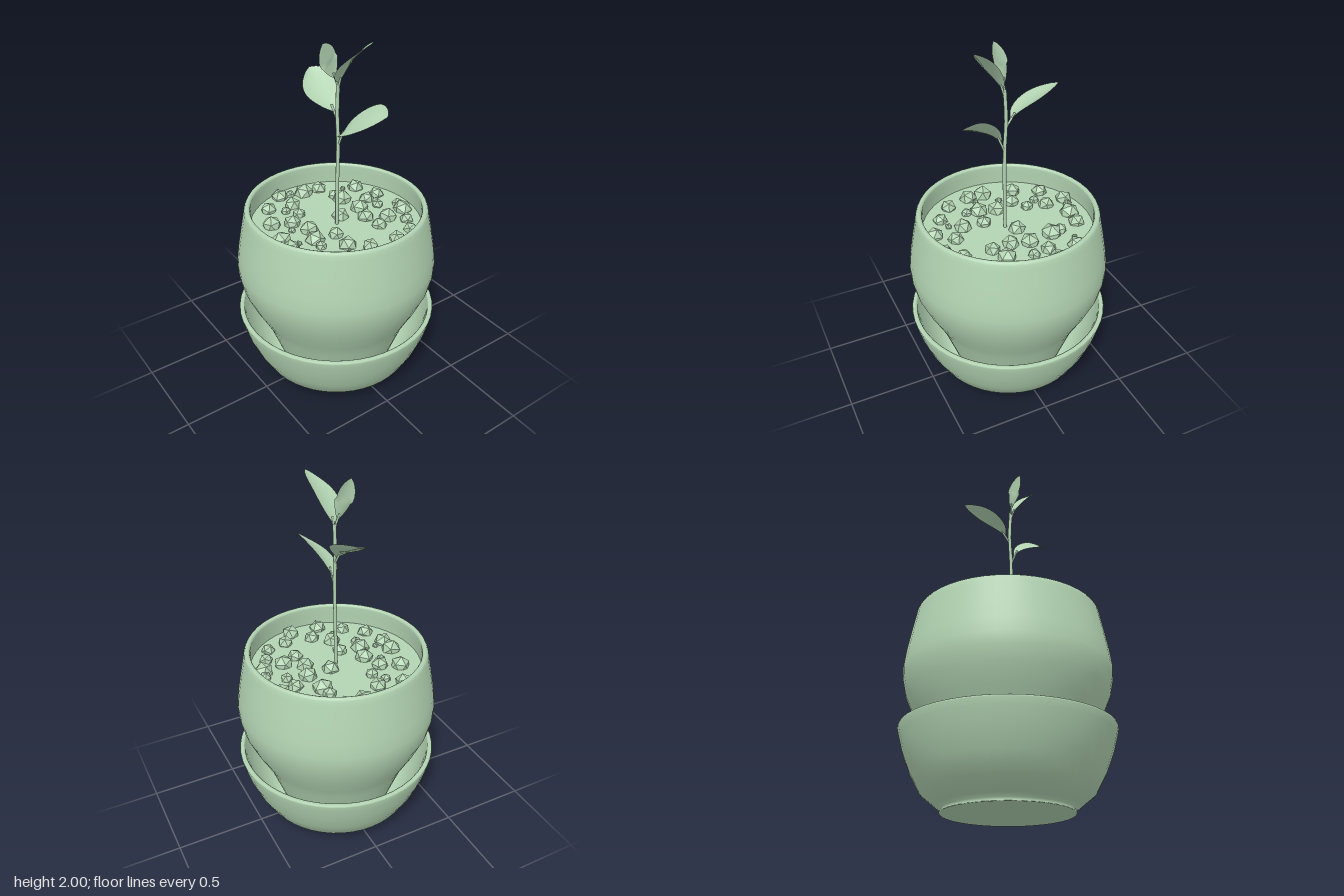
import * as THREE from 'three';

const V = (x, y, z) => new THREE.Vector3(x, y, z);

export function createModel() {
  const group = new THREE.Group();
  const green = new THREE.MeshStandardMaterial({ name: 'sageGreen', color: 0xb3d4b3 });
  const greenFlat = new THREE.MeshStandardMaterial({ name: 'sageGreenFaceted', color: 0xb3d4b3, flatShading: true });
  const greenThin = new THREE.MeshStandardMaterial({ name: 'sageGreenLeaf', color: 0xb3d4b3, side: THREE.DoubleSide });

  const add = (name, geometry, material = green) => {
    const mesh = new THREE.Mesh(geometry, material);
    mesh.name = name;
    group.add(mesh);
    return mesh;
  };
  const lathe = (points) => new THREE.LatheGeometry(points.map(([r, y]) => new THREE.Vector2(r, y)), 48);

  // Saucer: deep bowl on a small foot, profile runs from the underside up and back inside
  add('saucer', lathe([
    [0, 0], [0.335, 0], [0.34, 0.004], [0.332, 0.02], [0.36, 0.035], [0.44, 0.1], [0.495, 0.2],
    [0.535, 0.3], [0.557, 0.38], [0.565, 0.415], [0.563, 0.424], [0.557, 0.427], [0.543, 0.427],
    [0.537, 0.422], [0.53, 0.38], [0.505, 0.29], [0.465, 0.2], [0.41, 0.12], [0.34, 0.07], [0, 0.07],
  ]));

  // Pot: barrel shape with a rounded rim and a hollow top
  add('pot', lathe([
    [0, 0.075], [0.3, 0.075], [0.32, 0.085], [0.36, 0.2], [0.41, 0.34], [0.45, 0.42], [0.492, 0.5],
    [0.535, 0.6], [0.552, 0.68], [0.555, 0.74], [0.545, 0.82], [0.525, 0.93], [0.505, 1.03],
    [0.5, 1.058], [0.493, 1.07], [0.482, 1.073], [0.472, 1.069], [0.467, 1.058], [0.472, 1.02], [0.475, 0.92],
  ]));

  // Soil
  const soil = add('soil', new THREE.CircleGeometry(0.477, 48));
  soil.rotation.x = -Math.PI / 2;
  soil.position.y = 0.95;

  // Pebbles: x, z, radius
  const pebbles = [
    [-0.25, -0.32, 0.05], [-0.11, -0.37, 0.045], [0.11, -0.385, 0.055], [0.05, -0.4, 0.035],
    [0.21, -0.33, 0.04], [0.3, -0.28, 0.04], [-0.1, -0.29, 0.045], [-0.01, -0.3, 0.035],
    [0.13, -0.26, 0.055], [-0.36, -0.13, 0.048], [-0.24, -0.16, 0.04], [-0.18, -0.17, 0.06],
    [-0.04, -0.19, 0.055], [0.06, -0.16, 0.05], [0.17, -0.17, 0.045], [0.33, -0.16, 0.045],
    [0.41, -0.09, 0.052], [-0.37, -0.03, 0.058], [-0.03, -0.05, 0.05], [0.31, 0, 0.045],
    [-0.41, 0.11, 0.05], [-0.4, 0.045, 0.028], [-0.29, 0.1, 0.048], [-0.18, 0.125, 0.038],
    [0.11, 0.08, 0.045], [0.23, 0.09, 0.052], [0.4, 0.08, 0.05], [-0.32, 0.24, 0.048],
    [-0.25, 0.17, 0.03], [-0.12, 0.21, 0.05], [-0.01, 0.17, 0.055], [0.09, 0.2, 0.055],
    [0.16, 0.21, 0.032], [0.32, 0.205, 0.043], [-0.17, 0.31, 0.055], [0, 0.35, 0.058],
    [0.09, 0.35, 0.052], [0.23, 0.31, 0.047], [0.3, 0.13, 0.02], [-0.06, 0.25, 0.022],
    [0.07, 0.29, 0.018], [-0.28, -0.25, 0.016],
  ];
  const stones = new THREE.Group();
  stones.name = 'pebbles';
  const stoneGeometry = new THREE.IcosahedronGeometry(1, 0);
  pebbles.forEach(([x, z, r], i) => {
    const stone = new THREE.Mesh(stoneGeometry, greenFlat);
    stone.name = 'pebble';
    stone.position.set(x, 0.955, z);
    stone.rotation.set(i * 1.7, i * 2.3, i * 0.9);
    stone.scale.setScalar(r);
    stones.add(stone);
  });
  group.add(stones);

  // Stem
  const tube = (points, radius) =>
    new THREE.TubeGeometry(new THREE.CatmullRomCurve3(points), 14, radius, 8, false);
  add('stem', tube([V(0.015, 0.93, 0.005), V(0.018, 1.2, 0.005), V(0.018, 1.45, 0), V(0.01, 1.6, 0), V(0.018, 1.77, 0)], 0.01));

  // Leaf: blade swept along a midrib, narrow at the stalk, round at the tip, gently cupped
  const leafGeometry = (path, side, halfWidth, cup) => {
    const rows = 20, cols = 8;
    const curve = new THREE.CatmullRomCurve3(path);
    const geometry = new THREE.PlaneGeometry(1, 1, cols, rows);
    const position = geometry.attributes.position;
    const across = side.clone().normalize();
    for (let j = 0; j <= rows; j++) {
      const t = j / rows;
      const blade = Math.max(0, (t - 0.18) / 0.82);
      const width = halfWidth * Math.max(Math.sin(Math.PI * Math.pow(blade, 1.25)) ** 0.75 || 0, 0.07 * (1 - t));
      const centre = curve.getPoint(t);
      const normal = curve.getTangent(t).cross(across).normalize();
      if (normal.y < 0) normal.negate();
      for (let i = 0; i <= cols; i++) {
        const s = (i / cols) * 2 - 1;
        const p = centre.clone().addScaledVector(across, s * width).addScaledVector(normal, cup * width * (s * s - 0.3));
        position.setXYZ(j * (cols + 1) + i, p.x, p.y, p.z);
      }
    }
    geometry.computeVertexNormals();
    return geometry;
  };

  // Midrib points, sideways direction, half width, cupping
  const leaves = [
    ['lowerLeftLeaf', [V(0.018, 1.42, 0), V(0.06, 1.52, -0.005), V(0.18, 1.605, -0.045), V(0.29, 1.65, -0.1)], V(0, -0.6, 0.8), 0.1, 0.15],
    ['lowerRightLeaf', [V(0.01, 1.56, 0), V(-0.04, 1.63, 0), V(-0.15, 1.695, -0.005), V(-0.27, 1.76, -0.02)], V(0, -0.28, 0.96), 0.1, 0.25],
    ['upperLeftLeaf', [V(0.015, 1.72, 0), V(0.04, 1.8, 0), V(0.11, 1.9, -0.01), V(0.205, 2.0, -0.065)], V(0.1, -0.35, 0.93), 0.075, 0.15],
    ['upperFrontLeaf', [V(0.018, 1.74, 0), V(0.012, 1.82, 0.025), V(0.018, 1.9, 0.06), V(0.03, 1.98, 0.1)], V(0.2, -0.45, 0.87), 0.06, 0.12],
  ];
  for (const [name, path, side, halfWidth, cup] of leaves) {
    add(name, leafGeometry(path, side, halfWidth, cup), greenThin);
    // Stalk and midrib base
    add(name + 'Stalk', tube([path[0], path[0].clone().lerp(path[1], 0.5), path[1]], 0.006));
  }

  return group;
}
